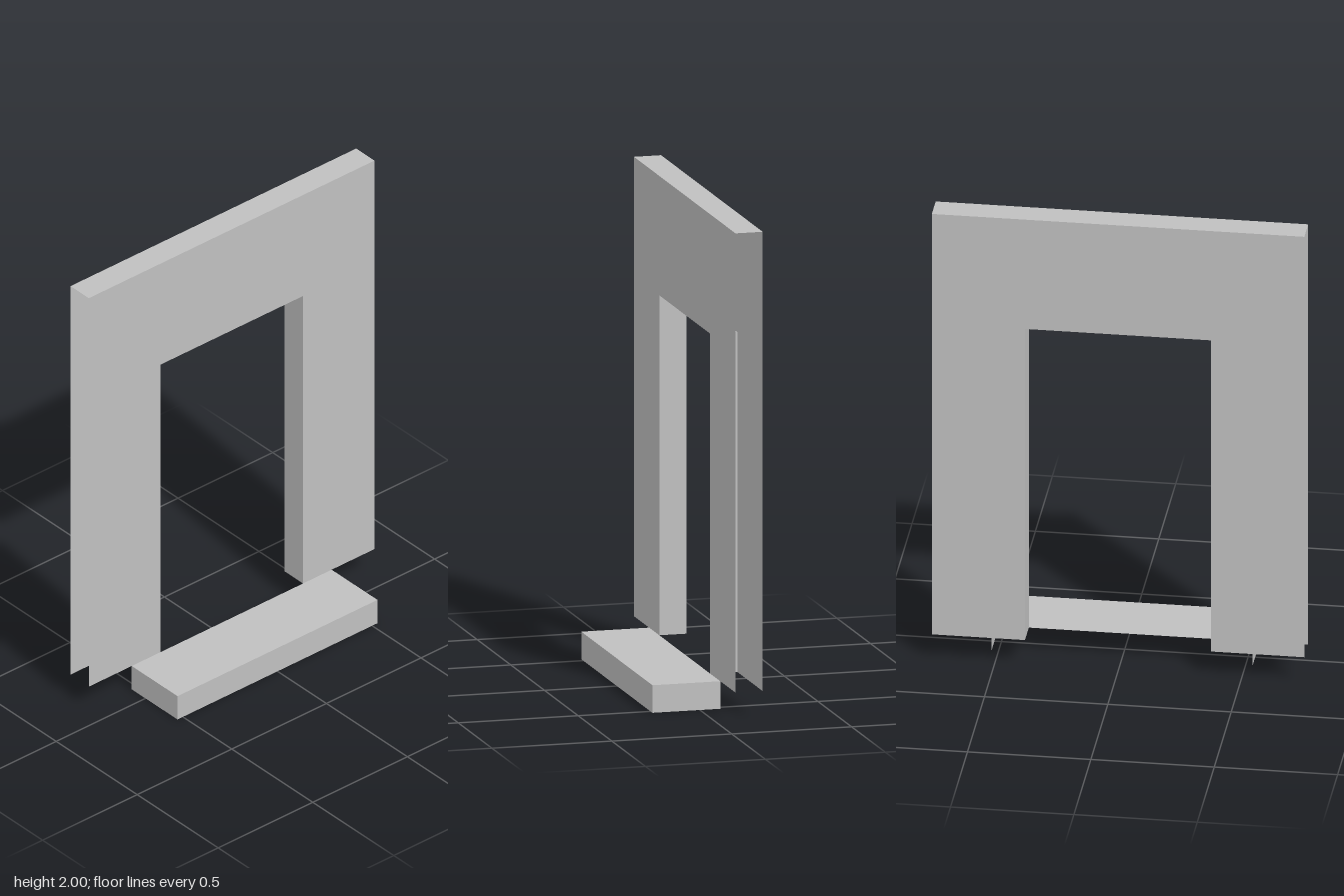
import * as THREE from 'three';

const U = 2 / 5.3;                        // wall is 4 x 5, step is 0.3 high
const WALL_HALF = 2 * U, DOOR_HALF = U, STEP_HALF = 1.4 * U;
const BASE = 0.3 * U, DOOR_TOP = 4 * U, TOP = 2;
const BACK = -0.525 * U, FACE = -0.225 * U, FRONT = 0.525 * U;

export function createModel() {
  const model = new THREE.Group();
  const plaster = new THREE.MeshStandardMaterial({ color: 0xc0c0c0, side: THREE.DoubleSide });
  plaster.name = 'grey plaster';

  const add = (parent, name, geometry, x, y, z, rx = 0, ry = 0) => {
    const mesh = new THREE.Mesh(geometry, plaster);
    mesh.name = name;
    mesh.position.set(x, y, z);
    mesh.rotation.set(rx, ry, 0);
    parent.add(mesh);
  };
  const plane = (w, h) => new THREE.PlaneGeometry(w, h);
  const UP = -Math.PI / 2, DOWN = Math.PI / 2;

  // Hollow wall: two sheets around the doorway, open at its outer ends and base
  const wall = new THREE.Group();
  wall.name = 'wall';
  const outline = new THREE.Shape([
    [-WALL_HALF, BASE], [-DOOR_HALF, BASE], [-DOOR_HALF, DOOR_TOP], [DOOR_HALF, DOOR_TOP],
    [DOOR_HALF, BASE], [WALL_HALF, BASE], [WALL_HALF, TOP], [-WALL_HALF, TOP],
  ].map(([x, y]) => new THREE.Vector2(x, y)));
  const sheet = new THREE.ShapeGeometry(outline);
  add(wall, 'wallFront', sheet, 0, 0, FACE);
  add(wall, 'wallBack', sheet, 0, 0, BACK, 0, Math.PI);

  const depth = FACE - BACK, midZ = (FACE + BACK) / 2;
  add(wall, 'wallTop', plane(2 * WALL_HALF, depth), 0, TOP, midZ, UP);
  add(wall, 'doorSoffit', plane(2 * DOOR_HALF, depth), 0, DOOR_TOP, midZ, DOWN);
  for (const [side, name] of [[1, 'leftJamb'], [-1, 'rightJamb']]) {
    add(wall, name, plane(depth, DOOR_TOP - BASE),
      side * DOOR_HALF, (DOOR_TOP + BASE) / 2, midZ, 0, -side * Math.PI / 2);
  }
  model.add(wall);

  // Doorstep: open underneath and at the back
  const step = new THREE.Group();
  step.name = 'doorstep';
  const stepDepth = FRONT - FACE, stepZ = (FRONT + FACE) / 2;
  add(step, 'stepTop', plane(2 * STEP_HALF, stepDepth), 0, BASE, stepZ, UP);
  add(step, 'stepFront', plane(2 * STEP_HALF, BASE), 0, BASE / 2, FRONT);
  for (const [side, name] of [[1, 'stepLeftEnd'], [-1, 'stepRightEnd']]) {
    add(step, name, plane(stepDepth, BASE), side * STEP_HALF, BASE / 2, stepZ, 0, side * Math.PI / 2);
  }
  model.add(step);

  return model;
}
